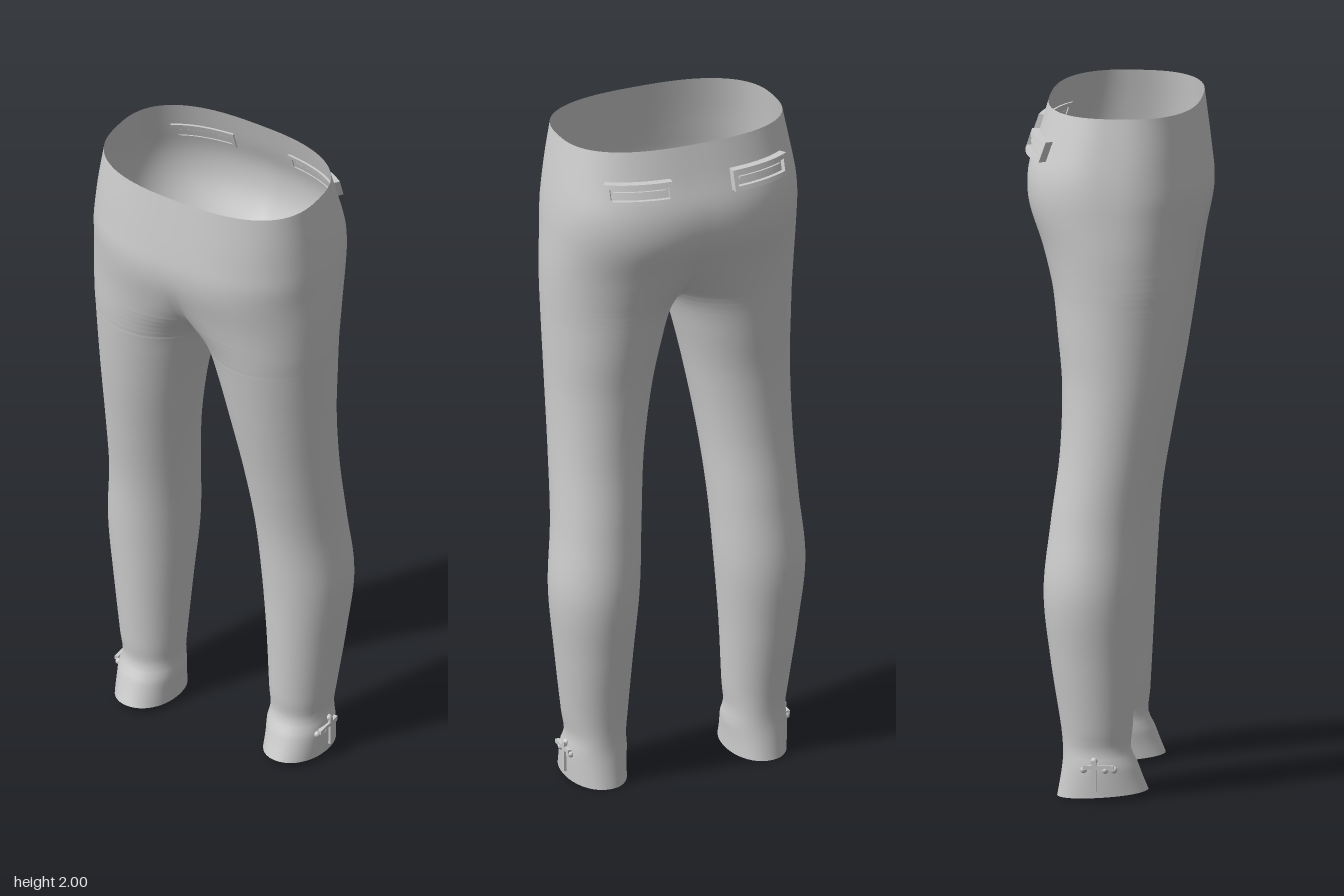
import * as THREE from 'three';
import { mergeVertices } from 'three/addons/utils/BufferGeometryUtils.js';

// Half-body sections: y, inner x, outer x, front z, back z, roundness exponent
const ROWS = [
  [0.00, 0.160, 0.340, 0.105, -0.157, 2.1],
  [0.05, 0.160, 0.342, 0.088, -0.148, 2.1],
  [0.10, 0.158, 0.342, 0.072, -0.141, 2.1],
  [0.14, 0.163, 0.335, 0.055, -0.140, 2.1],
  [0.20, 0.157, 0.345, 0.060, -0.145, 2],
  [0.40, 0.145, 0.370, 0.070, -0.175, 2],
  [0.60, 0.128, 0.390, 0.080, -0.195, 2],
  [0.80, 0.115, 0.376, 0.096, -0.176, 2],
  [1.00, 0.095, 0.370, 0.130, -0.151, 2],
  [1.20, 0.062, 0.370, 0.168, -0.146, 2],
  [1.35, 0.028, 0.374, 0.193, -0.160, 2],
  [1.44, 0.000, 0.377, 0.207, -0.170, 2],
  [1.50, -0.040, 0.379, 0.217, -0.181, 2.05],
  [1.60, -0.150, 0.380, 0.236, -0.212, 2.15],
  [1.70, -0.270, 0.376, 0.259, -0.252, 2.3],
  [1.76, -0.330, 0.373, 0.264, -0.261, 2.45],
  [1.82, -0.367, 0.367, 0.259, -0.256, 2.55],
  [1.90, -0.355, 0.355, 0.249, -0.230, 2.6],
  [2.00, -0.338, 0.338, 0.236, -0.201, 2.6],
];

// Smooth interpolation of the section table
function section(y) {
  const last = ROWS.length - 1;
  let i = 0;
  while (i < last - 1 && y > ROWS[i + 1][0]) i++;
  const a = ROWS[i], b = ROWS[i + 1], h = b[0] - a[0], t = (y - a[0]) / h;
  const slope = (k, c) => {
    const p = ROWS[Math.max(0, k - 1)], n = ROWS[Math.min(last, k + 1)];
    return (n[c] - p[c]) / (n[0] - p[0]) * h;
  };
  const [xi, xo, zf, zb, p] = [1, 2, 3, 4, 5].map((c) =>
    (2 * t ** 3 - 3 * t * t + 1) * a[c] + (t ** 3 - 2 * t * t + t) * slope(i, c) +
    (3 * t * t - 2 * t ** 3) * b[c] + (t ** 3 - t * t) * slope(i + 1, c));
  return { cx: (xi + xo) / 2, rx: (xo - xi) / 2, cz: (zf + zb) / 2, rz: (zf - zb) / 2, p };
}

const signedPow = (v, e) => Math.sign(v) * Math.abs(v) ** e;
const hemLift = (y, z) => Math.max(0, 1 - y / 0.12) * (z + 0.157) * 0.08;

// Back and outer surface positions, used to seat the details
function backZ(x, y) {
  const s = section(y), u = Math.min(1, Math.abs((x - s.cx) / s.rx));
  return s.cz - s.rz * (1 - u ** s.p) ** (1 / s.p);
}
function outerX(z, y) {
  const s = section(y), u = Math.min(1, Math.abs((z - s.cz) / s.rz));
  return s.cx + s.rx * (1 - u ** s.p) ** (1 / s.p);
}

// Both legs and the hip as one open skin; the halves meet at x = 0 above the crotch
function trouserSkin() {
  const levels = [];
  for (let i = 0; i <= 100; i++) levels.push(i * 0.02);
  for (let i = 0; i < 12; i++) levels.push(1.425 + i * 0.01 + 0.0025);
  levels.sort((a, b) => a - b);
  const around = 48, pos = [], index = [];
  for (const side of [1, -1]) {
    const base = pos.length / 3;
    for (const y of levels) {
      const s = section(y);
      const cut = Math.acos(signedPow(Math.max(0, Math.min(1, s.cx / s.rx)), s.p / 2));
      for (let j = 0; j <= around; j++) {
        const a = cut + (2 * Math.PI - 2 * cut) * j / around;
        let x = s.cx - s.rx * signedPow(Math.cos(a), 2 / s.p);
        const sin = (j === 0 || j === around) && cut === 0 ? 0 : Math.sin(a);
        const z = s.cz + s.rz * signedPow(sin, 2 / s.p);
        if (y > 1.44 && (j === 0 || j === around)) x = 0;
        pos.push(side * x, y + hemLift(y, z), z);
      }
    }
    for (let i = 0; i < levels.length - 1; i++) {
      for (let j = 0; j < around; j++) {
        const a = base + i * (around + 1) + j, b = a + 1, c = a + around + 1, d = c + 1;
        if (side > 0) index.push(a, b, d, a, d, c);
        else index.push(a, d, b, a, c, d);
      }
    }
  }
  const g = new THREE.BufferGeometry();
  g.setAttribute('position', new THREE.Float32BufferAttribute(pos, 3));
  g.setIndex(index);
  const merged = mergeVertices(g, 1e-4);
  merged.computeVertexNormals();
  return merged;
}

// Box whose depth axis is bent to follow the back of the hip
function backPatch(cx, cy, w, h, d, lift) {
  const g = new THREE.BoxGeometry(w, h, d, 10, 1, 1), p = g.attributes.position;
  for (let i = 0; i < p.count; i++) {
    const x = cx + p.getX(i), y = cy + p.getY(i), out = lift - p.getZ(i);
    const slope = (backZ(x + 0.005, y) - backZ(x - 0.005, y)) / 0.01;
    const n = Math.hypot(1, slope);
    p.setXYZ(i, x + slope / n * out, y, backZ(x, y) - out / n);
  }
  g.computeVertexNormals();
  return g;
}

export function createModel() {
  const model = new THREE.Group();
  const cloth = new THREE.MeshStandardMaterial({ color: 0xcccccc, side: THREE.DoubleSide });
  cloth.name = 'grey cloth';
  const add = (parent, name, geometry) => {
    const m = new THREE.Mesh(geometry, cloth);
    m.name = name;
    parent.add(m);
    return m;
  };
  add(model, 'trousers', trouserSkin());

  for (const side of [1, -1]) {
    const label = side > 0 ? 'left' : 'right';

    // Welt pocket: raised frame, sunken panel and a lip
    const pocket = new THREE.Group();
    pocket.name = label + 'BackPocket';
    const px = 0.183, py = 1.887;
    add(pocket, 'pocketPanel', backPatch(px, py, 0.165, 0.05, 0.014, 0.004));
    for (const e of [1, -1]) {
      add(pocket, 'pocketWelt', backPatch(px, py + e * 0.023, 0.18, 0.013, 0.03, 0.008));
      add(pocket, 'pocketEnd', backPatch(px + e * 0.084, py, 0.012, 0.058, 0.03, 0.008));
    }
    add(pocket, 'pocketLip', backPatch(px, py + 0.003, 0.14, 0.008, 0.02, 0.007));
    pocket.scale.x = side;
    model.add(pocket);

    // Ankle fastening on the outer side: upright tab, crossbar and end knobs
    const fastening = new THREE.Group();
    fastening.name = label + 'AnkleFastening';
    const seat = (name, geometry, z, y) =>
      add(fastening, name, geometry).position.set(outerX(z, y), y, z);
    seat('tab', new THREE.BoxGeometry(0.012, 0.09, 0.014), -0.042, 0.075);
    seat('crossbar', new THREE.BoxGeometry(0.012, 0.012, 0.09), -0.03, 0.1);
    for (const z of [0.015, -0.01, -0.042, -0.072]) {
      seat('knob', new THREE.SphereGeometry(0.01, 10, 8), z, z === -0.042 ? 0.118 : 0.092);
    }
    fastening.scale.x = side;
    model.add(fastening);
  }
  return model;
}
